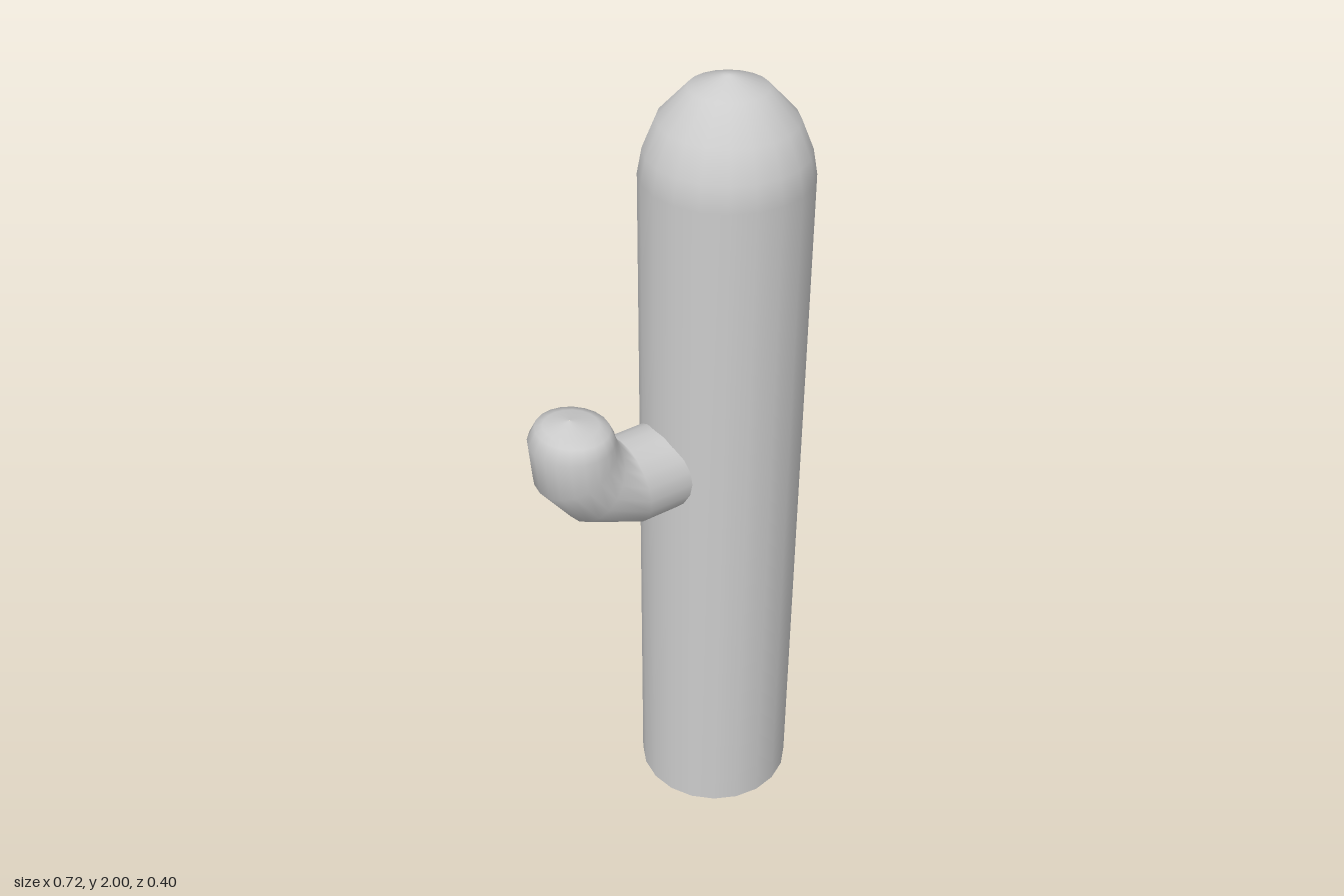
import * as THREE from 'three';

const SIDES = 20;

// Lofts ellipses between pairs of outer and inner points; each station is [outerX, outerY, innerX, innerY, halfDepth]
function loft(stations) {
  const positions = [];
  const index = [];
  stations.forEach(([ox, oy, ix, iy, depth], i) => {
    for (let j = 0; j < SIDES; j++) {
      const a = (j / SIDES) * Math.PI * 2;
      const c = Math.cos(a) / 2;
      positions.push((ox + ix) / 2 + (ix - ox) * c, (oy + iy) / 2 + (iy - oy) * c, depth * Math.sin(a));
      if (i === stations.length - 1) continue;
      const p = i * SIDES + j;
      const q = i * SIDES + ((j + 1) % SIDES);
      index.push(p, p + SIDES, q, q, p + SIDES, q + SIDES);
    }
  });
  const geometry = new THREE.BufferGeometry();
  geometry.setAttribute('position', new THREE.Float32BufferAttribute(positions, 3));
  geometry.setIndex(index);
  geometry.computeVertexNormals();
  return geometry;
}

export function createModel() {
  const model = new THREE.Group();
  model.name = 'cactus';
  const material = new THREE.MeshStandardMaterial({ color: 0xcccccc });
  const add = (name, geometry) => {
    const mesh = new THREE.Mesh(geometry, material);
    mesh.name = name;
    model.add(mesh);
    return mesh;
  };

  // Straight trunk with a rounded top
  const profile = [
    [0.198, 0], [0.198, 1.77], [0.187, 1.83], [0.158, 1.9],
    [0.09, 1.972], [0.013, 1.999], [0, 2],
  ].map(([r, y]) => new THREE.Vector2(r, y));
  add('trunk', new THREE.LatheGeometry(profile, SIDES)).position.x = 0.163;

  // Flat underside of the trunk
  const base = add('trunkBase', new THREE.CircleGeometry(0.198, SIDES));
  base.rotation.x = Math.PI / 2;
  base.position.x = 0.163;

  // Short arm that leaves the trunk level, bends up and ends in a shallow cap
  add('arm', loft([
    [0.06, 0.947, 0.06, 1.165, 0.109],
    [-0.111, 0.947, -0.125, 1.165, 0.109],
    [-0.275, 1.016, -0.15, 1.192, 0.109],
    [-0.352, 1.115, -0.161, 1.22, 0.109],
    [-0.362, 1.225, -0.164, 1.232, 0.108],
    [-0.344, 1.262, -0.175, 1.257, 0.092],
    [-0.328, 1.271, -0.198, 1.266, 0.065],
    [-0.267, 1.283, -0.265, 1.283, 0.001],
  ]));

  return model;
}
